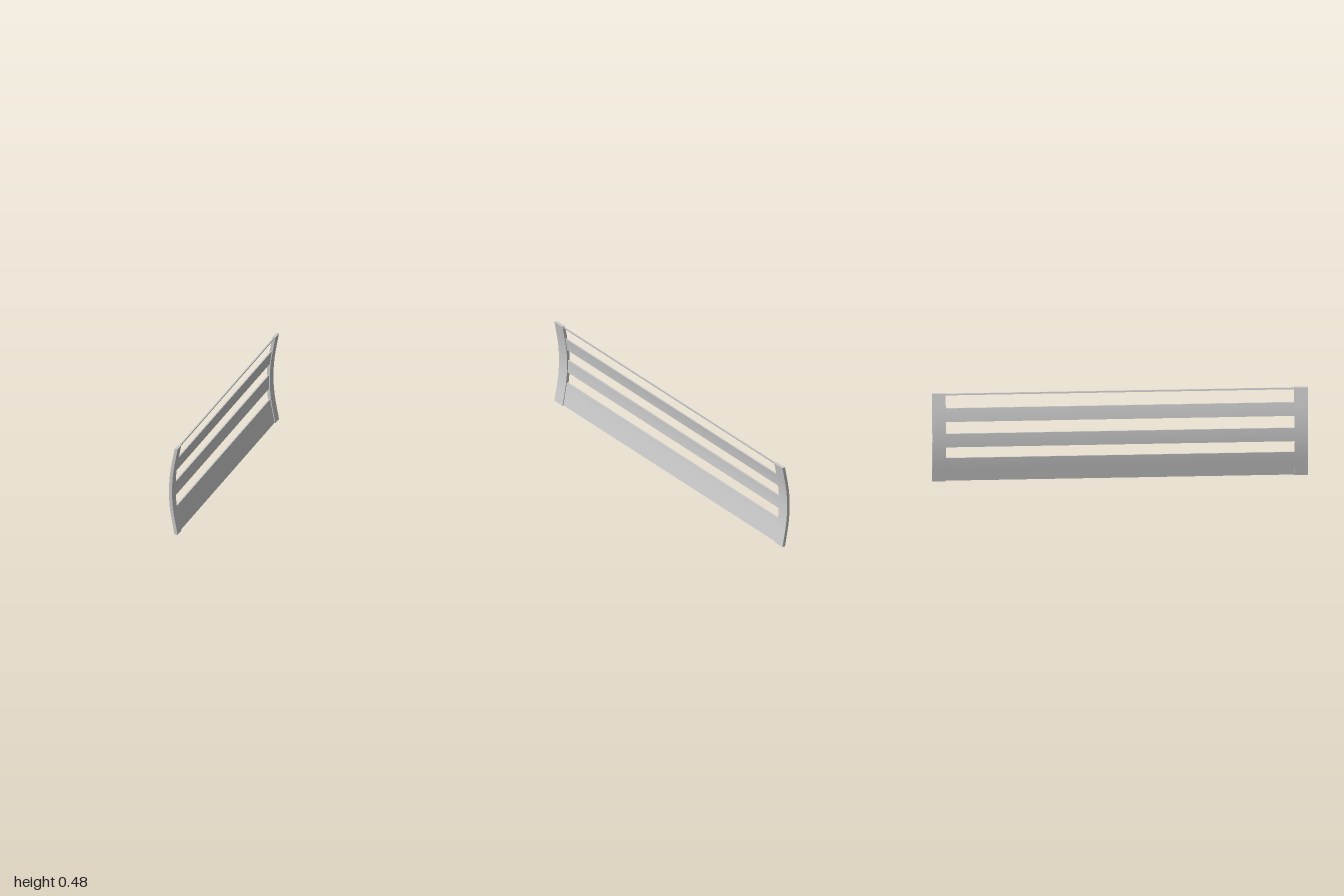
import * as THREE from 'three';
import { toCreasedNormals } from 'three/addons/utils/BufferGeometryUtils.js';

const HEIGHT = 0.48, MID = HEIGHT / 2;
const ARC = 0.154, BEND = 0.617; // half height of the curved middle, and its curvature

// Centre line of the bowed profile: curved in the middle, straight towards both ends
function centreX(y) {
  const d = Math.abs(y - MID);
  return -0.0155 + (d < ARC ? BEND * d * d : BEND * ARC * (2 * d - ARC));
}

// Strip of the bowed profile between two heights, extruded along z
function bowedStrip(y0, y1, thickness, length) {
  const steps = Math.max(2, Math.ceil((y1 - y0) / 0.02));
  const near = [], far = [];
  for (let i = 0; i <= steps; i++) {
    const y = y0 + (y1 - y0) * i / steps;
    const x = centreX(y);
    near.push(new THREE.Vector2(x + thickness / 2, y));
    far.unshift(new THREE.Vector2(x - thickness / 2, y));
  }
  const geometry = new THREE.ExtrudeGeometry(new THREE.Shape([...near, ...far]), {
    depth: length, bevelEnabled: false, steps: 1,
  });
  geometry.translate(0, 0, -length / 2);
  return toCreasedNormals(geometry, 0.5);
}

export function createModel() {
  const group = new THREE.Group();
  const material = new THREE.MeshStandardMaterial({ color: 0xcccccc });

  const add = (name, geometry, z = 0) => {
    const mesh = new THREE.Mesh(geometry, material);
    mesh.name = name;
    mesh.position.z = z;
    group.add(mesh);
  };

  // Bowed posts at both ends
  const post = bowedStrip(0, HEIGHT, 0.017, 0.072);
  add('frontPost', post, 0.964);
  add('backPost', post, -0.964);

  // Thinner slats between the posts, following the same bow
  const slats = [
    ['bottomPanel', 0.002, 0.132],
    ['lowerSlat', 0.192, 0.266],
    ['upperSlat', 0.33, 0.402],
    ['topRail', 0.47, 0.478],
  ];
  for (const [name, y0, y1] of slats) add(name, bowedStrip(y0, y1, 0.008, 1.86));

  return group;
}
